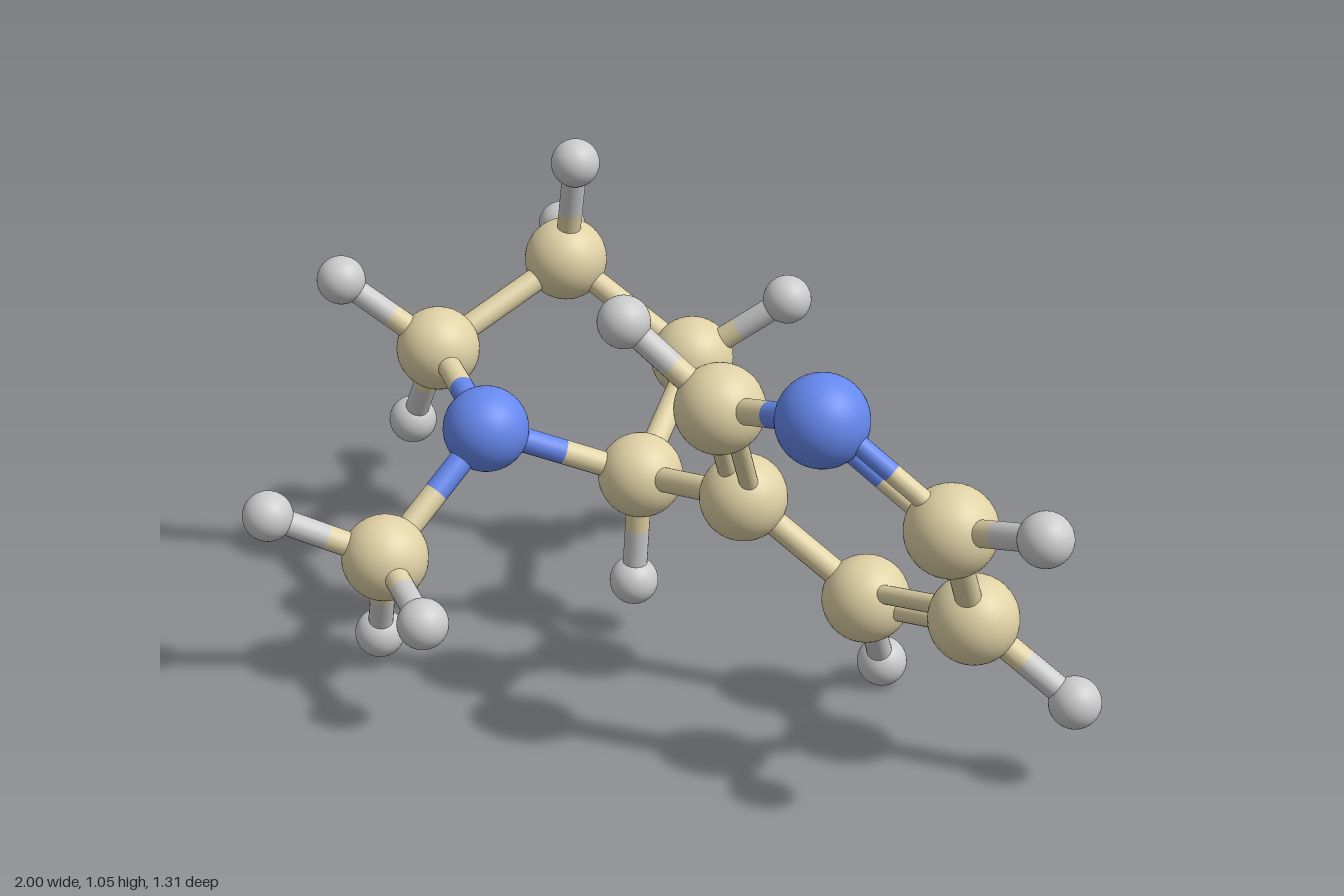
import * as THREE from 'three';

const MATERIALS = {
  C: new THREE.MeshStandardMaterial({ color: 0xe0d2a6 }),
  N: new THREE.MeshStandardMaterial({ color: 0x6688ee }),
  H: new THREE.MeshStandardMaterial({ color: 0xcccccc }),
};
const NAMES = { C: 'carbon', N: 'nitrogen', H: 'hydrogen' };
const RADII = { C: 0.093, N: 0.093, H: 0.054 };
const SINGLE_RADIUS = 0.027, DOUBLE_RADIUS = 0.02, DOUBLE_OFFSET = 0.027;

// Heavy atoms: element, position, positions of the hydrogens attached to it
const ATOMS = {
  // five-sided ring
  ringN: ['N', [-0.49, 0.53, 0.13], []],
  ringC2: ['C', [-0.293, 0.4, -0.14], [[-0.323, 0.134, -0.146]]],
  ringC3: ['C', [-0.44, 0.55, -0.443], [[-0.275, 0.698, -0.578], [-0.525, 0.354, -0.6]]],
  ringC4: ['C', [-0.728, 0.743, -0.325], [[-0.655, 0.993, -0.292], [-0.928, 0.735, -0.495]]],
  ringC5: ['C', [-0.807, 0.59, -0.007], [[-0.947, 0.367, -0.04], [-0.947, 0.755, 0.148]]],
  // methyl group
  methyl: ['C', [-0.505, 0.311, 0.408],
    [[-0.65, 0.422, 0.6], [-0.265, 0.274, 0.507], [-0.607, 0.077, 0.351]]],
  // six-sided ring
  hexC3: ['C', [0.06, 0.473, -0.1], []],
  hexC2: ['C', [0.158, 0.75, 0.07], [[-0.007, 0.918, 0.175]]],
  hexN: ['N', [0.473, 0.83, 0.11], []],
  hexC6: ['C', [0.692, 0.628, -0.022], [[0.943, 0.702, 0.007]]],
  hexC5: ['C', [0.618, 0.355, -0.19], [[0.806, 0.2, -0.29]]],
  hexC4: ['C', [0.293, 0.274, -0.23], [[0.227, 0.056, -0.361]]],
};

const SINGLE_BONDS = [
  ['ringN', 'ringC2'], ['ringC2', 'ringC3'], ['ringC3', 'ringC4'], ['ringC4', 'ringC5'],
  ['ringC5', 'ringN'], ['ringN', 'methyl'], ['ringC2', 'hexC3'],
  ['hexC2', 'hexN'], ['hexC6', 'hexC5'], ['hexC4', 'hexC3'],
];
const DOUBLE_BONDS = [['hexC3', 'hexC2'], ['hexN', 'hexC6'], ['hexC5', 'hexC4']];

const vec = (p) => new THREE.Vector3(...p);

function makeAtom(element, position) {
  const mesh = new THREE.Mesh(new THREE.SphereGeometry(RADII[element], 40, 24), MATERIALS[element]);
  mesh.name = NAMES[element] + 'Atom';
  mesh.position.copy(position);
  return mesh;
}

function makeRod(from, to, radius, material) {
  const dir = to.clone().sub(from);
  const rod = new THREE.Mesh(
    new THREE.CylinderGeometry(radius, radius, dir.length(), 20, 1, true), material);
  rod.name = 'bondHalf';
  rod.position.copy(from).add(to).multiplyScalar(0.5);
  rod.quaternion.setFromUnitVectors(new THREE.Vector3(0, 1, 0), dir.normalize());
  return rod;
}

// A bond takes each end atom's colour up to the midpoint
function makeBond(elemA, a, elemB, b, radius = SINGLE_RADIUS, shift = new THREE.Vector3()) {
  const bond = new THREE.Group();
  bond.name = 'bond';
  const mid = a.clone().lerp(b, 0.5);
  bond.add(makeRod(a, mid, radius, MATERIALS[elemA]), makeRod(mid, b, radius, MATERIALS[elemB]));
  bond.position.copy(shift);
  return bond;
}

export function createModel() {
  const model = new THREE.Group();
  model.name = 'molecule';

  // Atoms with their hydrogens
  for (const [name, [element, p, hydrogens]] of Object.entries(ATOMS)) {
    const site = new THREE.Group();
    site.name = name;
    const centre = vec(p);
    site.add(makeAtom(element, centre));
    for (const h of hydrogens) {
      site.add(makeAtom('H', vec(h)), makeBond(element, centre, 'H', vec(h)));
    }
    model.add(site);
  }

  // Single bonds
  for (const [i, j] of SINGLE_BONDS) {
    model.add(makeBond(ATOMS[i][0], vec(ATOMS[i][1]), ATOMS[j][0], vec(ATOMS[j][1])));
  }

  // Double bonds: two thin rods side by side in the plane of the six-sided ring
  const hexNames = Object.keys(ATOMS).filter((n) => n.startsWith('hex'));
  const hexCentre = new THREE.Vector3();
  for (const n of hexNames) hexCentre.addScaledVector(vec(ATOMS[n][1]), 1 / hexNames.length);
  for (const [i, j] of DOUBLE_BONDS) {
    const a = vec(ATOMS[i][1]), b = vec(ATOMS[j][1]);
    const along = b.clone().sub(a).normalize();
    const inward = hexCentre.clone().sub(a);
    inward.addScaledVector(along, -inward.dot(along)).normalize();
    for (const side of [-1, 1]) {
      const shift = inward.clone().multiplyScalar(side * DOUBLE_OFFSET);
      model.add(makeBond(ATOMS[i][0], a, ATOMS[j][0], b, DOUBLE_RADIUS, shift));
    }
  }
  return model;
}
